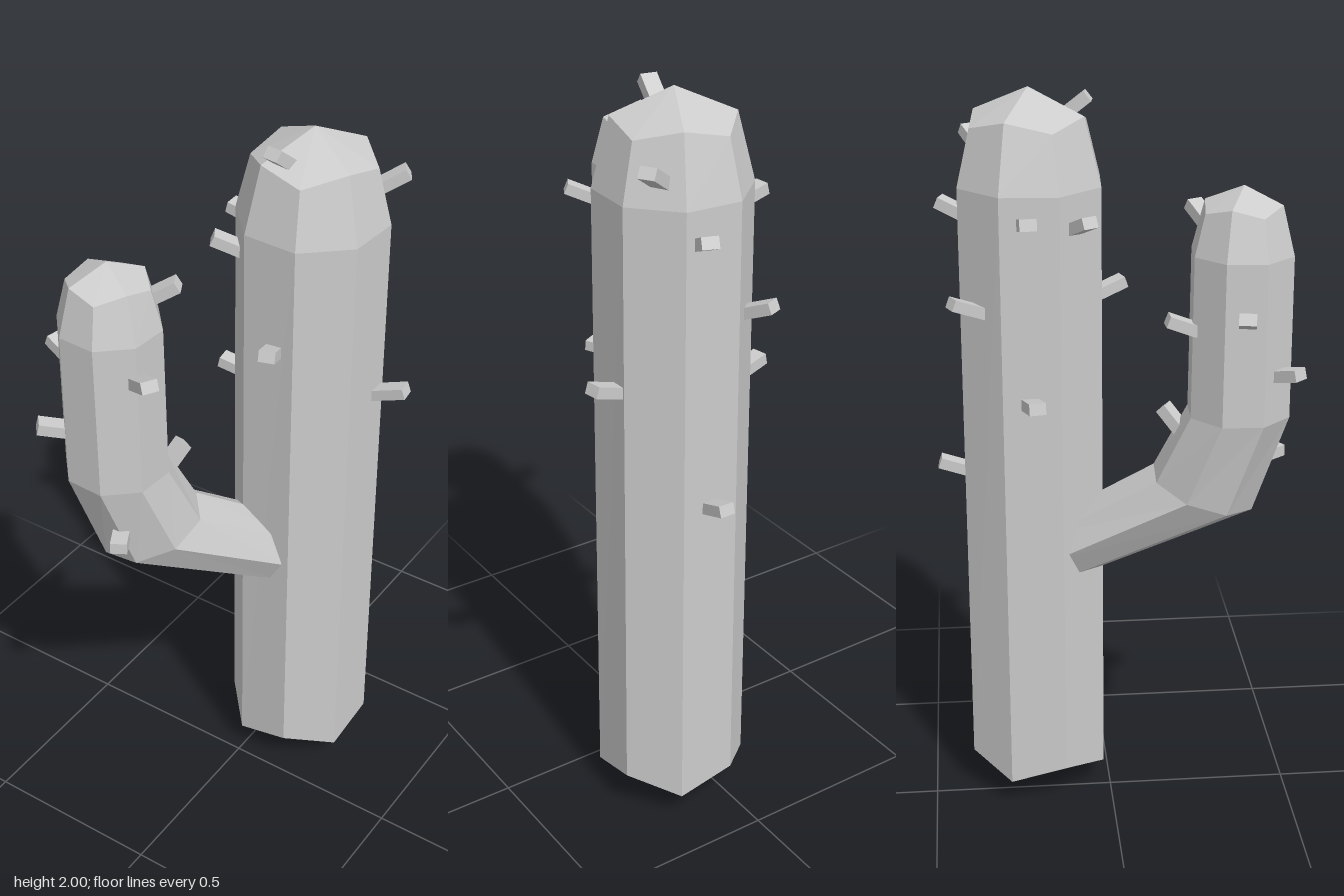
import * as THREE from 'three';

const material = new THREE.MeshStandardMaterial({ color: 0xcccccc, flatShading: true });
const SIDES = 8;

// Eight-sided ring. Even points lie on the axes, odd ones on the diagonals.
// out = [z, y] is the ring's forward half-axis; odd points get radius scale k and lift dy.
function ring(z, y, halfWidth, out = [halfWidth, 0], k = 1, dy = 0) {
  return Array.from({ length: SIDES }, (_, i) => {
    const a = (i / SIDES) * Math.PI * 2;
    const s = i % 2 ? k : 1;
    return new THREE.Vector3(
      Math.sin(a) * halfWidth * s,
      y + Math.cos(a) * out[1] * s + (i % 2 ? dy : 0),
      z + Math.cos(a) * out[0] * s
    );
  });
}

// Skin the rings from bottom to top and close both ends with four-sided faceted caps.
function skin(name, rings, bottom, top) {
  const pos = [];
  const tri = (...p) => p.forEach((v) => pos.push(v.x, v.y, v.z));
  for (let r = 0; r < rings.length - 1; r++) {
    for (let i = 0; i < SIDES; i++) {
      const j = (i + 1) % SIDES;
      const [a, b, c, d] = [rings[r][i], rings[r][j], rings[r + 1][j], rings[r + 1][i]];
      tri(a, b, c);
      tri(a, c, d);
    }
  }
  const low = rings[0];
  const high = rings[rings.length - 1];
  for (let i = 0; i < SIDES; i++) {
    const j = (i + 1) % SIDES;
    tri(top, high[i], high[j]);
    tri(bottom, low[j], low[i]);
  }
  const geometry = new THREE.BufferGeometry();
  geometry.setAttribute('position', new THREE.Float32BufferAttribute(pos, 3));
  geometry.computeVertexNormals();
  const mesh = new THREE.Mesh(geometry, material);
  mesh.name = name;
  return mesh;
}

// Square peg running from just under the skin to its tip.
function spine(name, base, tip) {
  const a = new THREE.Vector3(...base);
  const b = new THREE.Vector3(...tip);
  const dir = b.clone().sub(a).normalize();
  a.addScaledVector(dir, -0.03);
  const mesh = new THREE.Mesh(new THREE.BoxGeometry(0.043, 0.03, a.distanceTo(b)), material);
  mesh.position.copy(a).add(b).multiplyScalar(0.5);
  mesh.lookAt(b);
  mesh.name = name;
  return mesh;
}

export function createModel() {
  const model = new THREE.Group();
  model.name = 'cactus';

  // Trunk and arm share a frame turned so the arm grows along local +z
  const body = new THREE.Group();
  body.name = 'body';
  body.position.set(0.085, 0, -0.2);
  body.rotation.y = -0.445;
  model.add(body);

  body.add(skin('trunk', [
    ring(0, 0.085, 0.2, undefined, 1.01, 0.043),
    ring(0, 1.76, 0.197),
    ring(0, 1.935, 0.152, undefined, 1.05, -0.027),
  ], new THREE.Vector3(0, 0.005, 0), new THREE.Vector3(0, 2, 0)));

  // Arm leaves the trunk, bends upwards and ends in a rounded tip
  body.add(skin('arm', [
    ring(0.11, 0.763, 0.122, [0.05, -0.078]),
    ring(0.479, 0.985, 0.13, [0.136, -0.045]),
    ring(0.57, 1.21, 0.136),
    ring(0.57, 1.63, 0.133),
    ring(0.57, 1.755, 0.1, undefined, 1.06, -0.02),
  ], new THREE.Vector3(0, 0.763, 0.11), new THREE.Vector3(0, 1.797, 0.57)));

  // Spines: base and tip of each
  const trunkSpines = [
    [[-0.03, 1.45, -0.33], [-0.065, 1.485, -0.41]],
    [[0.095, 0.97, -0.38], [0.095, 0.995, -0.455]],
    [[0.125, 1.675, -0.38], [0.143, 1.7, -0.435]],
    [[0.205, 1.825, -0.32], [0.262, 1.865, -0.355]],
    [[0.28, 1.285, -0.24], [0.352, 1.31, -0.25]],
    [[-0.1, 1.22, -0.215], [-0.19, 1.24, -0.2]],
    [[-0.09, 1.69, -0.22], [-0.17, 1.71, -0.215]],
    [[-0.07, 1.675, -0.09], [-0.12, 1.7, -0.06]],
    [[0.095, 1.465, -0.01], [0.112, 1.485, 0.045]],
    [[0.068, 1.94, -0.1], [0.06, 1.98, -0.05]],
  ];
  const armSpines = [
    [[-0.195, 1.445, 0.19], [-0.198, 1.47, 0.125]],
    [[-0.105, 1.15, 0.17], [-0.085, 1.2, 0.13]],
    [[-0.08, 1.695, 0.23], [-0.035, 1.725, 0.205]],
    [[-0.285, 1.485, 0.312], [-0.355, 1.515, 0.3]],
    [[-0.25, 1.335, 0.4], [-0.3, 1.352, 0.445]],
    [[-0.1, 1.06, 0.385], [-0.065, 1.065, 0.445]],
    [[-0.04, 1.535, 0.37], [0.022, 1.565, 0.405]],
  ];
  for (const [base, tip] of trunkSpines) model.add(spine('trunkSpine', base, tip));
  for (const [base, tip] of armSpines) model.add(spine('armSpine', base, tip));

  return model;
}
